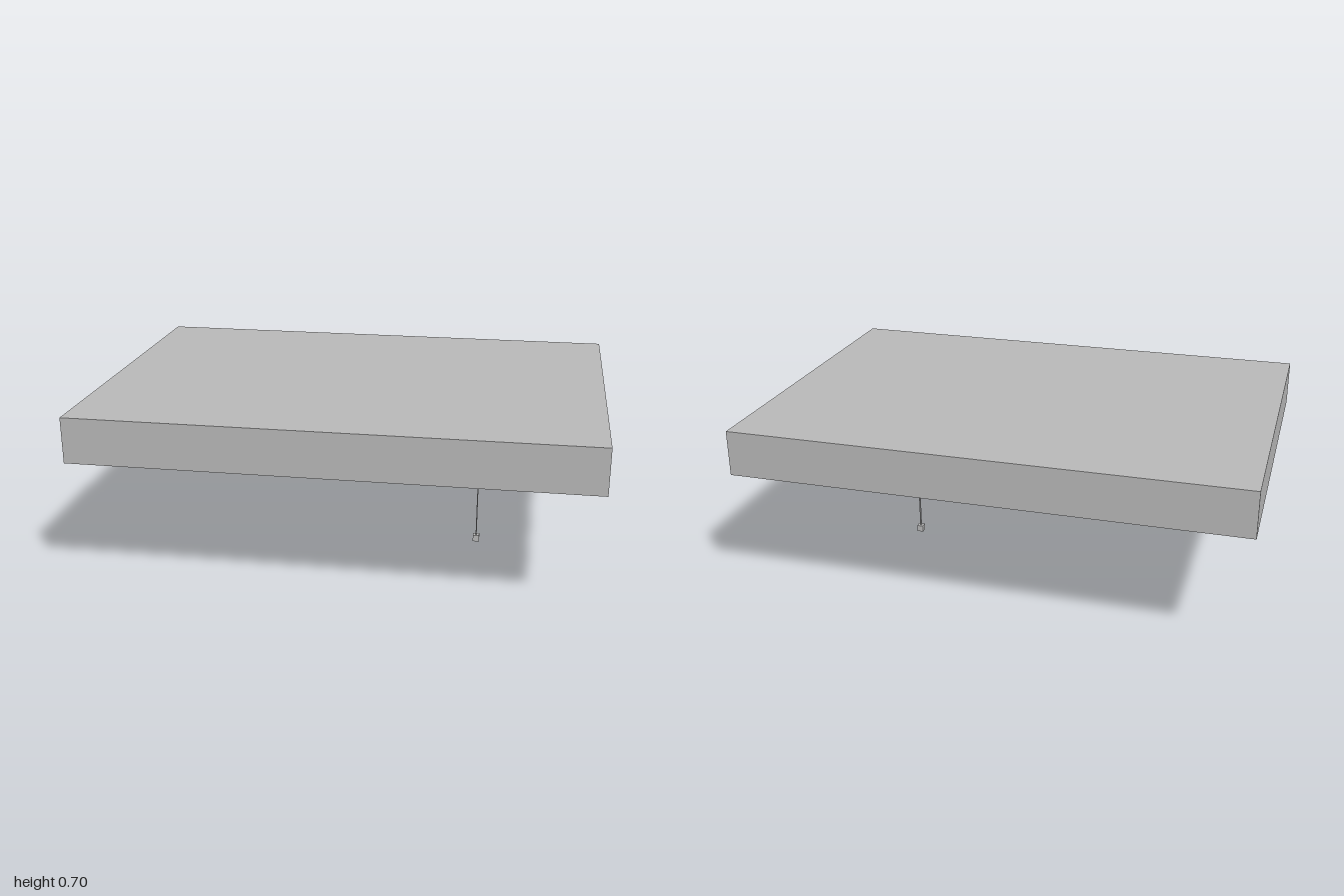
import * as THREE from 'three';

export function createModel() {
  const group = new THREE.Group();
  const grey = new THREE.MeshStandardMaterial({ color: 0xb8b8b8 });
  grey.name = 'plain grey';

  const add = (name, geometry, x, y, z) => {
    const mesh = new THREE.Mesh(geometry, grey);
    mesh.name = name;
    mesh.position.set(x, y, z);
    group.add(mesh);
  };
  const box = (name, x0, x1, y0, y1, z0, z1) =>
    add(name, new THREE.BoxGeometry(x1 - x0, y1 - y0, z1 - z0),
      (x0 + x1) / 2, (y0 + y1) / 2, (z0 + z1) / 2);

  // Rectangle with a rectangular hole, lying flat and hanging down from y
  const frame = (name, outer, inner, y, depth) => {
    const trace = (path, [x0, x1, z0, z1]) =>
      path.moveTo(x0, z0).lineTo(x1, z0).lineTo(x1, z1).lineTo(x0, z1).closePath();
    const shape = new THREE.Shape();
    trace(shape, outer);
    const hole = new THREE.Path();
    trace(hole, inner);
    shape.holes.push(hole);
    const geometry = new THREE.ExtrudeGeometry(shape, { depth, bevelEnabled: false });
    add(name, geometry.rotateX(Math.PI / 2), 0, y, 0);
  };

  const bottom = 0.517, ceiling = 0.567, top = 0.697;
  const cordX = 0.512, cordZ = 0.01;

  // Ceiling slab with a border and a slightly raised beam forming two recesses
  box('ceilingSlab', -1, 1, ceiling, top, -0.705, 0.705);
  frame('ceilingBorder', [-1, 1, -0.705, 0.705], [-0.89, 0.89, -0.625, 0.615], ceiling, ceiling - bottom);
  box('ceilingBeam', -0.065, 0.18, bottom + 0.01, ceiling, -0.625, 0.615);

  // Switch housing with a raised rim
  const h = 0.047, r = 0.038;
  frame('switchRim', [cordX - h, cordX + h, cordZ - h, cordZ + h],
    [cordX - r, cordX + r, cordZ - r, cordZ + r], ceiling, 0.015);

  // Pull cord in two lengths, with a small cube handle
  box('upperCord', cordX - 0.002, cordX + 0.002, 0.19, ceiling, cordZ - 0.004, cordZ + 0.003);
  box('lowerCord', cordX - 0.002, cordX + 0.002, 0.027, 0.19, cordZ - 0.004, cordZ + 0.006);
  box('cordHandle', cordX - 0.013, cordX + 0.013, 0, 0.027, cordZ - 0.013, cordZ + 0.013);

  return group;
}
